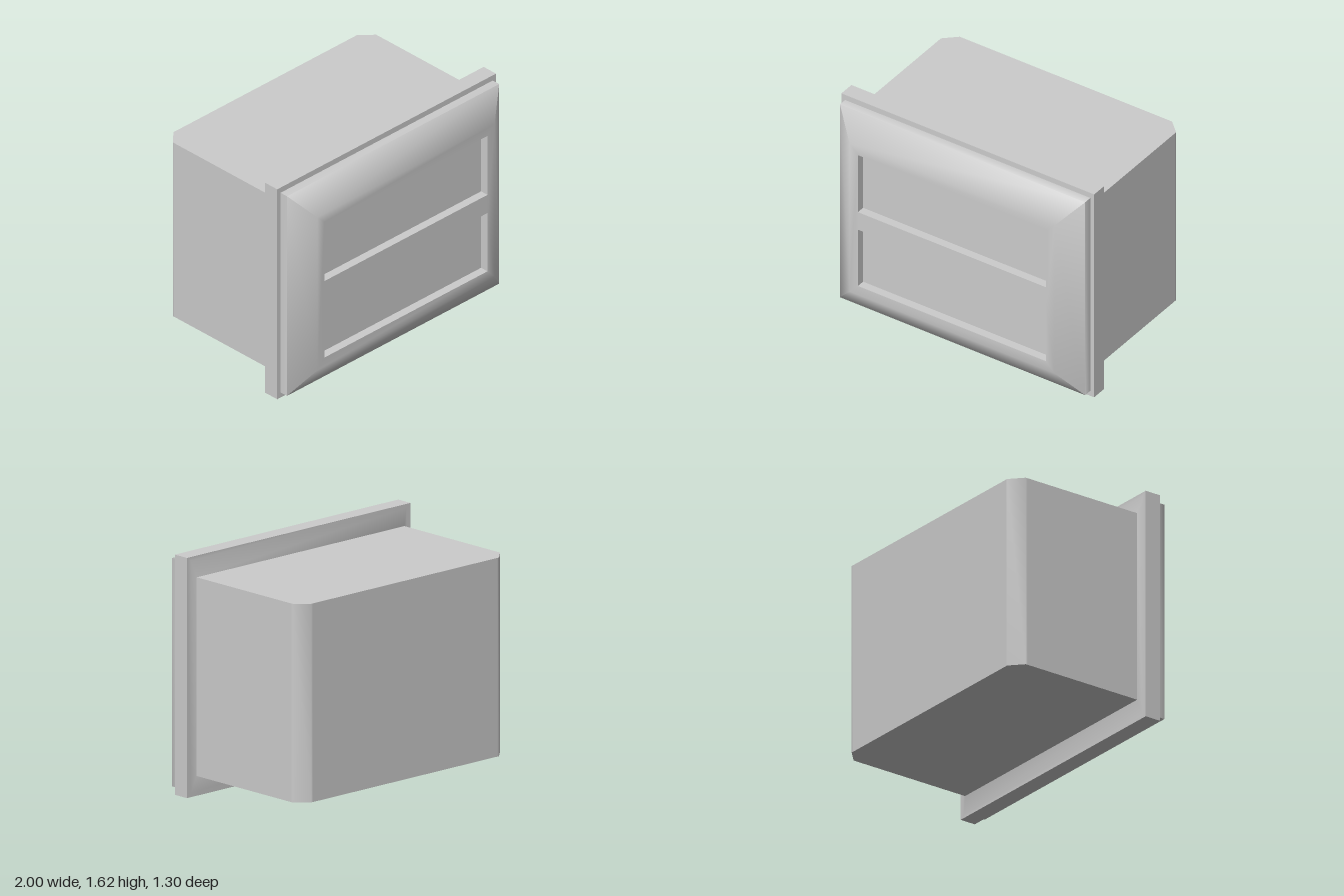
import * as THREE from 'three';
import { mergeGeometries, toCreasedNormals } from 'three/addons/utils/BufferGeometryUtils.js';

const grey = new THREE.MeshStandardMaterial({ color: 0xcccccc });

// Rectangular section: half width, bottom, top, depth position
const rect = (x, y0, y1, z) => [[-x, y0, z], [x, y0, z], [x, y1, z], [-x, y1, z]];

// Skin joining successive rectangular sections, with an optional cap on the last
function loft(rings, cap = false) {
  const pos = [];
  const quad = (a, b, c, d) => pos.push(...a, ...b, ...c, ...a, ...c, ...d);
  for (let r = 0; r + 1 < rings.length; r++) {
    const a = rings[r], b = rings[r + 1];
    for (let i = 0; i < 4; i++) {
      const j = (i + 1) % 4;
      quad(a[i], a[j], b[j], b[i]);
    }
  }
  if (cap) quad(...rings[rings.length - 1]);
  const g = new THREE.BufferGeometry();
  g.setAttribute('position', new THREE.Float32BufferAttribute(pos, 3));
  return g;
}

function part(group, name, geometry, crease) {
  const mesh = new THREE.Mesh(toCreasedNormals(geometry, crease), grey);
  mesh.name = name;
  group.add(mesh);
}

const outline = (x, y0, y1) => [[-x, y0], [x, y0], [x, y1], [-x, y1]].map(p => new THREE.Vector2(...p));

export function createModel() {
  const group = new THREE.Group();
  group.name = 'panelHousing';

  // Housing: plan with chamfered rear corners; extra points keep the soft shading on the chamfers
  const half = [[0.93, -0.4], [0.93, 0.55], [0.93, 0.565], [0.84, 0.65], [0.825, 0.65]];
  const plan = [...half, ...half.map(([x, y]) => [-x, y]).reverse()];
  const body = new THREE.ExtrudeGeometry(
    new THREE.Shape(plan.map(p => new THREE.Vector2(...p))), { depth: 1.34, bevelEnabled: false });
  body.rotateX(-Math.PI / 2).translate(0, 0.14, 0);
  part(group, 'housing', body, 1);

  // Flange with a shallow sloping back
  part(group, 'flange', loft([
    rect(0.93, 0.14, 1.48, 0.343), rect(0.965, 0.025, 1.595, 0.36),
    rect(1, 0, 1.62, 0.36), rect(1, 0, 1.62, 0.475),
  ], true), 0.5);

  // Bezel: straight rim, sloping border and flat face with two window openings
  const windows = [[0.29, 0.74], [0.88, 1.335]];
  const halfWindow = 0.745, faceZ = 0.655, floorZ = 0.595;
  const face = new THREE.Shape(outline(0.81, 0.22, 1.4));
  for (const [y0, y1] of windows) face.holes.push(new THREE.Path(outline(halfWindow, y0, y1)));
  const faceGeo = new THREE.ShapeGeometry(face).translate(0, 0, faceZ).toNonIndexed();
  faceGeo.deleteAttribute('uv');
  faceGeo.deleteAttribute('normal');
  const border = loft([
    rect(0.97, 0.04, 1.58, 0.47), rect(0.97, 0.04, 1.58, 0.535), rect(0.81, 0.22, 1.4, faceZ),
  ]);
  part(group, 'bezel', mergeGeometries([border, faceGeo]), 1);

  // Recessed windows
  windows.forEach(([y0, y1], i) => part(group, i ? 'upperWindow' : 'lowerWindow',
    loft([rect(halfWindow, y0, y1, faceZ), rect(halfWindow, y0, y1, floorZ)], true), 0.5));

  return group;
}
